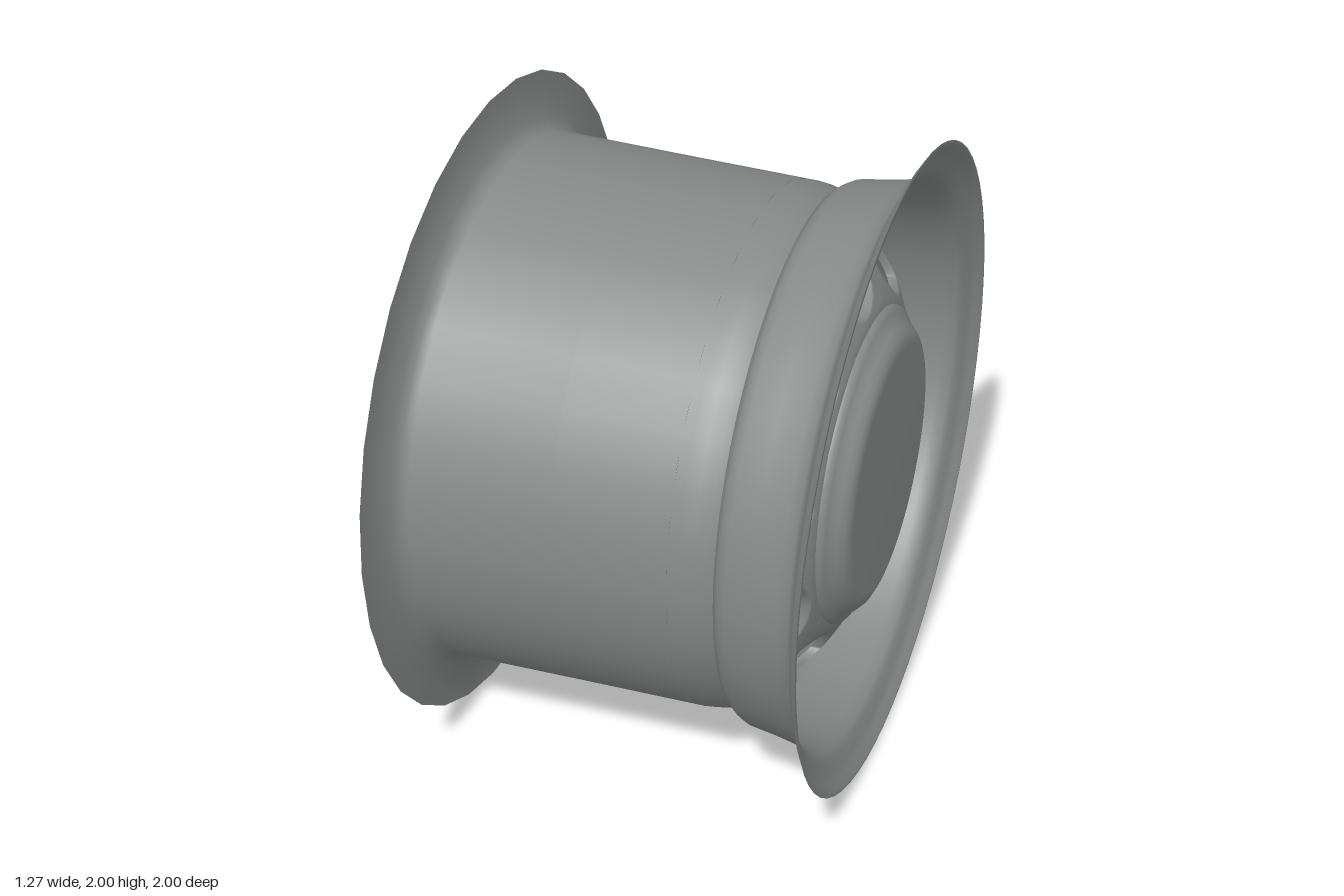
import * as THREE from 'three';
import { mergeVertices } from 'three/addons/utils/BufferGeometryUtils.js';

const HOLES = 10;

// Surface of revolution about the x axis; points are [x, radius]
function turned(name, points, material, segments = 64) {
  const geometry = new THREE.LatheGeometry(points.map(([x, r]) => new THREE.Vector2(r, x)), segments);
  geometry.rotateZ(-Math.PI / 2);
  const mesh = new THREE.Mesh(geometry, material);
  mesh.name = name;
  return mesh;
}

// Domed disc pierced by lens-shaped holes, made of equal sectors
function discGeometry() {
  const rIn = 0.47, rOut = 0.78, rHole = 0.588;
  const profile = new THREE.SplineCurve([
    [0.47, 0.535], [0.51, 0.525], [0.6, 0.475], [0.68, 0.405], [0.73, 0.36], [0.78, 0.337],
  ].map(([r, x]) => new THREE.Vector2(r, x))).getPoints(80);
  const height = (r) => {
    let i = 1;
    while (i < profile.length - 1 && profile[i].x < r) i++;
    const a = profile[i - 1], b = profile[i];
    return a.y + (b.y - a.y) * (r - a.x) / (b.x - a.x);
  };
  const positions = [], indices = [];
  const half = Math.PI / HOLES, around = 48, rings = 7, row = around + 1;
  for (let s = 0; s < HOLES; s++) {
    const start = positions.length / 3;
    for (let j = -1; j <= rings; j++) {
      for (let i = 0; i <= around; i++) {
        const phi = (i / around) * Math.PI * 2;
        const c = Math.cos(phi), d = Math.sin(phi), m = Math.max(Math.abs(c), Math.abs(d));
        // hole outline, pointed at both ends
        const holeAngle = 0.22 * c;
        const holeRadius = rHole + 0.072 * d * Math.pow(Math.abs(d), 0.6);
        // sector outline
        const edgeAngle = half * c / m;
        const edgeRadius = rHole + (d > 0 ? rOut - rHole : rHole - rIn) * d / m;
        const t = Math.max(j, 0) / rings;
        const r = THREE.MathUtils.lerp(holeRadius, edgeRadius, t);
        const angle = THREE.MathUtils.lerp(holeAngle, edgeAngle, t) + s * 2 * half;
        // the first ring forms the inward lip of the hole
        const x = height(r) - (j < 0 ? 0.03 : 0);
        positions.push(x, r * Math.cos(angle), r * Math.sin(angle));
      }
    }
    for (let j = 0; j <= rings; j++) {
      for (let i = 0; i < around; i++) {
        const a = start + j * row + i, b = a + row;
        indices.push(a, a + 1, b, a + 1, b + 1, b);
      }
    }
  }
  let geometry = new THREE.BufferGeometry();
  geometry.setAttribute('position', new THREE.Float32BufferAttribute(positions, 3));
  geometry.setIndex(indices);
  geometry = mergeVertices(geometry, 1e-4);
  geometry.computeVertexNormals();
  return geometry;
}

export function createModel() {
  const steel = new THREE.MeshStandardMaterial({ color: 0x868988, side: THREE.DoubleSide });
  steel.name = 'steel grey';
  const model = new THREE.Group();
  model.name = 'wheelRim';

  // Long barrel with its flared inner flange
  model.add(turned('barrel', [
    [-0.635, 1.0], [-0.633, 0.96], [-0.625, 0.91], [-0.61, 0.865], [-0.595, 0.838], [-0.57, 0.824],
    [-0.15, 0.814], [0.23, 0.806], [0.27, 0.801], [0.31, 0.79], [0.335, 0.778],
  ], steel, 32));

  // Outer lip that flares to the front edge
  model.add(turned('outerLip', [
    [0.335, 0.778], [0.337, 0.803], [0.355, 0.818], [0.38, 0.831], [0.46, 0.842], [0.54, 0.857],
    [0.575, 0.872], [0.59, 0.892], [0.602, 0.925], [0.615, 0.955], [0.635, 0.975], [0.635, 0.988],
  ], steel));

  // Pierced disc
  const disc = new THREE.Mesh(discGeometry(), steel);
  disc.name = 'piercedDisc';
  model.add(disc);

  // Hub cap with rounded shoulder
  model.add(turned('hubCap', [
    [0.53, 0.486], [0.545, 0.482], [0.555, 0.468], [0.563, 0.452], [0.58, 0.438], [0.597, 0.42],
    [0.606, 0.40], [0.61, 0.375], [0.61, 0],
  ], steel));

  // Plate closing the barrel behind the holes
  model.add(turned('backPlate', [[0.2, 0.805], [0.2, 0.48]], steel));

  // Drum behind the disc with a rounded, dished back
  model.add(turned('drum', [
    [0.53, 0.475], [0.2, 0.48], [-0.02, 0.49], [-0.08, 0.48], [-0.115, 0.455], [-0.125, 0.415],
    [-0.115, 0.36], [-0.08, 0.31], [-0.04, 0.28], [-0.02, 0.25], [-0.02, 0],
  ], steel));

  // Stepped stub axle
  model.add(turned('stubAxle', [
    [-0.02, 0.085], [-0.11, 0.08], [-0.125, 0.07], [-0.13, 0.05], [-0.19, 0.048], [-0.2, 0.035], [-0.2, 0],
  ], steel));

  model.position.y = 1;
  const root = new THREE.Group();
  root.name = 'wheel';
  root.add(model);
  return root;
}
